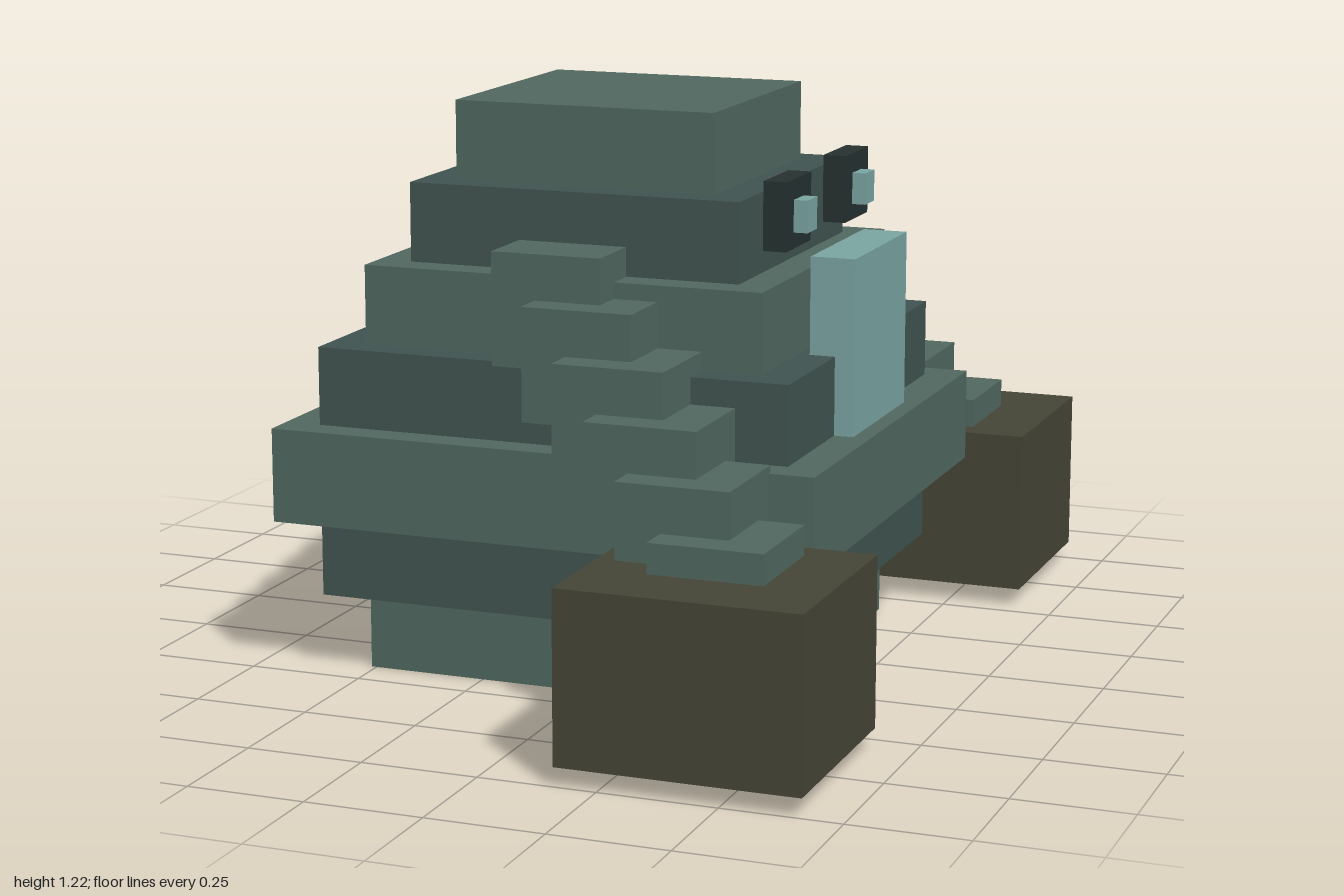
import * as THREE from 'three';

const mat = (color) => new THREE.MeshStandardMaterial({ color, flatShading: true });

export function createModel() {
  const model = new THREE.Group();
  const light = mat(0x50675f);
  const dark = mat(0x405350);
  const fistMat = mat(0x444535);
  const pale = mat(0x79a4a1);
  const black = mat(0x253130);

  // Box given by its minimum and maximum corners
  const box = (name, material, [x0, y0, z0], [x1, y1, z1], parent = model) => {
    const mesh = new THREE.Mesh(new THREE.BoxGeometry(x1 - x0, y1 - y0, z1 - z0), material);
    mesh.position.set((x0 + x1) / 2, (y0 + y1) / 2, (z0 + z1) / 2);
    mesh.name = name;
    parent.add(mesh);
  };

  // Stepped body: bottom, top, half width along x, half depth along z
  const body = new THREE.Group();
  body.name = 'body';
  model.add(body);
  const cx = -0.068;
  [
    [0, 0.17, 0.443, 0.41],
    [0.17, 0.34, 0.523, 0.475],
    [0.34, 0.542, 0.602, 0.543],
    [0.542, 0.71, 0.523, 0.475],
    [0.71, 0.88, 0.443, 0.41],
    [0.88, 1.05, 0.368, 0.34],
    [1.05, 1.22, 0.289, 0.277],
  ].forEach(([y0, y1, hx, hz], i) =>
    box(`bodyLayer${i + 1}`, i % 2 ? dark : light, [cx - hx, y0, -hz], [cx + hx, y1, hz], body));

  // Face plate
  box('mouthPlate', pale, [0.4, 0.5, -0.18], [0.497, 0.918, 0.18]);

  for (const side of [1, -1]) {
    const label = side > 0 ? 'front' : 'back';
    const mirrored = (name, material, [x0, y0, z0], [x1, y1, z1], parent) =>
      side > 0
        ? box(name, material, [x0, y0, z0], [x1, y1, z1], parent)
        : box(name, material, [x0, y0, -z1], [x1, y1, -z0], parent);

    // Eye socket and pupil
    mirrored(`${label}EyeSocket`, black, [0.328, 0.94, 0.115], [0.378, 1.085, 0.273]);
    mirrored(`${label}Pupil`, pale, [0.365, 0.974, 0.164], [0.408, 1.042, 0.226]);

    // Arm: equal cubes stepping forward, down and outward to the fist
    const arm = new THREE.Group();
    arm.name = `${label}Arm`;
    model.add(arm);
    for (let i = 0; i < 6; i++) {
      const x = -0.187 + 0.0962 * i, y = 0.702 - 0.0962 * i, z = 0.245 + 0.0717 * i;
      mirrored(`${label}ArmSegment${i + 1}`, light, [x, y, z], [x + 0.24, y + 0.24, z + 0.24], arm);
    }
    mirrored(`${label}Fist`, fistMat, [0.16, 0.04, 0.545], [0.667, 0.398, 1], arm);
  }
  return model;
}
